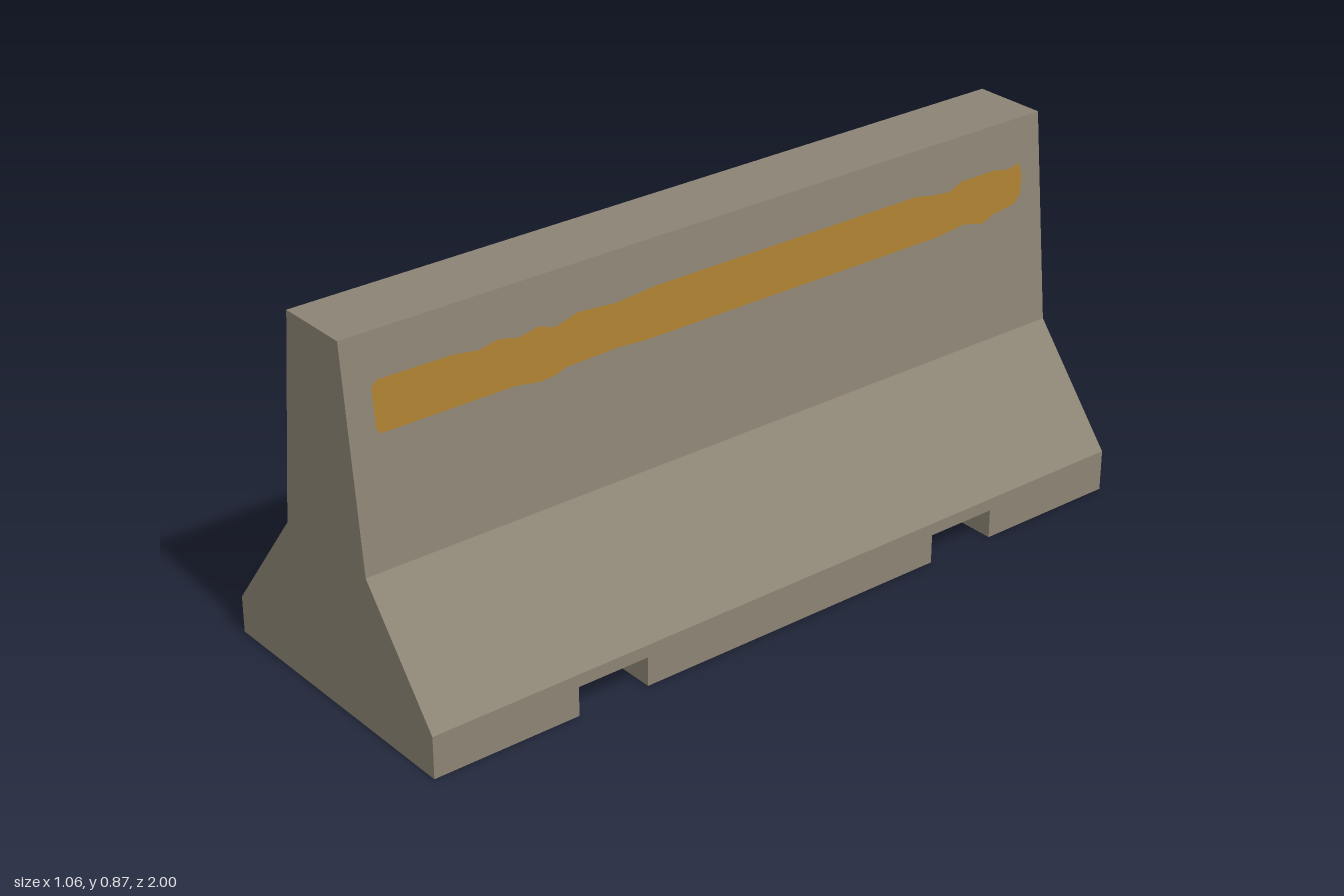
import * as THREE from 'three';

const LENGTH = 1.894, HALF_L = LENGTH / 2;
const BASE = 0.359, WAIST = 0.145, CROWN = 0.091; // half widths
const WAIST_Y = 0.365, TOP_Y = 0.868;
const SKIRT_Y = { '1': 0.1, '-1': 0.088 };
const CHANNEL_Y = 0.07, CHANNEL_IN = 0.405, CHANNEL_OUT = 0.585;

const concrete = new THREE.MeshStandardMaterial({ color: 0x8c8374, side: THREE.DoubleSide });
concrete.name = 'concrete';
const paint = new THREE.MeshStandardMaterial({ color: 0xab8030, side: THREE.DoubleSide });
paint.name = 'ochrePaint';

const outline = (pts) => new THREE.Shape(pts.map(([x, y]) => new THREE.Vector2(x, y)));
const rect = (y0, y1) => [[-HALF_L, y0], [HALF_L, y0], [HALF_L, y1], [-HALF_L, y1]];
const lerpAt = (y0, w0, y1, w1) => (y) => w0 + ((y - y0) / (y1 - y0)) * (w1 - w0);

export function createModel() {
  const model = new THREE.Group();
  model.name = 'concreteBarrier';
  const body = new THREE.Group();
  body.name = 'barrierBody';
  body.rotation.y = -0.191;
  model.add(body);

  const add = (name, geometry, material = concrete) => {
    const mesh = new THREE.Mesh(geometry, material);
    mesh.name = name;
    body.add(mesh);
    return mesh;
  };

  // Flat outline (length, height) laid onto one flank, at half width halfAt(y)
  const flankPanel = (name, pts, side, halfAt, material) => {
    const geometry = new THREE.ShapeGeometry(outline(pts));
    const p = geometry.attributes.position;
    for (let i = 0; i < p.count; i++) {
      p.setXYZ(i, side * halfAt(p.getY(i)), p.getY(i), -side * p.getX(i));
    }
    geometry.computeVertexNormals();
    add(name, geometry, material);
  };

  // Worn painted band, ragged along both edges
  const band = [
    [-0.885, 0.668], [-0.875, 0.655], [-0.55, 0.655], [-0.49, 0.645], [-0.45, 0.648], [-0.42, 0.657],
    [-0.28, 0.66], [-0.22, 0.655], [0.62, 0.655], [0.7, 0.663], [0.76, 0.65], [0.79, 0.662],
    [0.86, 0.67], [0.88, 0.69], [0.887, 0.73], [0.88, 0.762], [0.84, 0.757], [0.8, 0.765],
    [0.7, 0.765], [0.66, 0.75], [0.6, 0.757], [0.56, 0.765], [-0.18, 0.765], [-0.28, 0.757],
    [-0.38, 0.765], [-0.44, 0.75], [-0.48, 0.763], [-0.53, 0.754], [-0.58, 0.765],
    [-0.63, 0.756], [-0.69, 0.765], [-0.87, 0.767], [-0.885, 0.755],
  ];

  for (const side of [1, -1]) {
    const tag = side > 0 ? 'left' : 'right';
    const skirtY = SKIRT_Y[side];
    const upper = lerpAt(WAIST_Y, WAIST, TOP_Y, CROWN);

    // Skirt with the two lifting slots
    const skirt = [
      [-HALF_L, 0], [-CHANNEL_OUT, 0], [-CHANNEL_OUT, CHANNEL_Y], [-CHANNEL_IN, CHANNEL_Y], [-CHANNEL_IN, 0],
      [CHANNEL_IN, 0], [CHANNEL_IN, CHANNEL_Y], [CHANNEL_OUT, CHANNEL_Y], [CHANNEL_OUT, 0],
      [HALF_L, 0], [HALF_L, skirtY], [-HALF_L, skirtY],
    ];
    flankPanel(tag + 'Skirt', skirt, side, () => BASE);
    flankPanel(tag + 'Slope', rect(skirtY, WAIST_Y), side, lerpAt(skirtY, BASE, WAIST_Y, WAIST));
    flankPanel(tag + 'UpperWall', rect(WAIST_Y, TOP_Y), side, upper);
    flankPanel(tag + 'PaintedBand', band, side, (y) => upper(y) + 0.003, paint);
  }

  // Top
  add('top', new THREE.PlaneGeometry(CROWN * 2, LENGTH).rotateX(-Math.PI / 2)).position.y = TOP_Y;

  // End walls
  const profile = outline([
    [-BASE, 0], [BASE, 0], [BASE, SKIRT_Y['1']], [WAIST, WAIST_Y], [CROWN, TOP_Y],
    [-CROWN, TOP_Y], [-WAIST, WAIST_Y], [-BASE, SKIRT_Y['-1']],
  ]);
  add('frontEnd', new THREE.ShapeGeometry(profile)).position.z = HALF_L;
  const back = new THREE.ShapeGeometry(profile);
  back.setIndex([...back.index.array].reverse());
  back.computeVertexNormals();
  add('backEnd', back).position.z = -HALF_L;

  // Cross channels through the hollow underside
  for (const end of [1, -1]) {
    const tag = end > 0 ? 'front' : 'back';
    const roof = new THREE.PlaneGeometry(BASE * 2, CHANNEL_OUT - CHANNEL_IN).rotateX(Math.PI / 2);
    add(tag + 'ChannelRoof', roof).position.set(0, CHANNEL_Y, (end * (CHANNEL_IN + CHANNEL_OUT)) / 2);
    for (const z of [CHANNEL_IN, CHANNEL_OUT]) {
      const wall = new THREE.PlaneGeometry(BASE * 2, CHANNEL_Y);
      if ((z === CHANNEL_OUT) === (end > 0)) wall.rotateY(Math.PI);
      add(tag + (z === CHANNEL_IN ? 'ChannelInnerWall' : 'ChannelOuterWall'), wall)
        .position.set(0, CHANNEL_Y / 2, end * z);
    }
  }
  return model;
}
